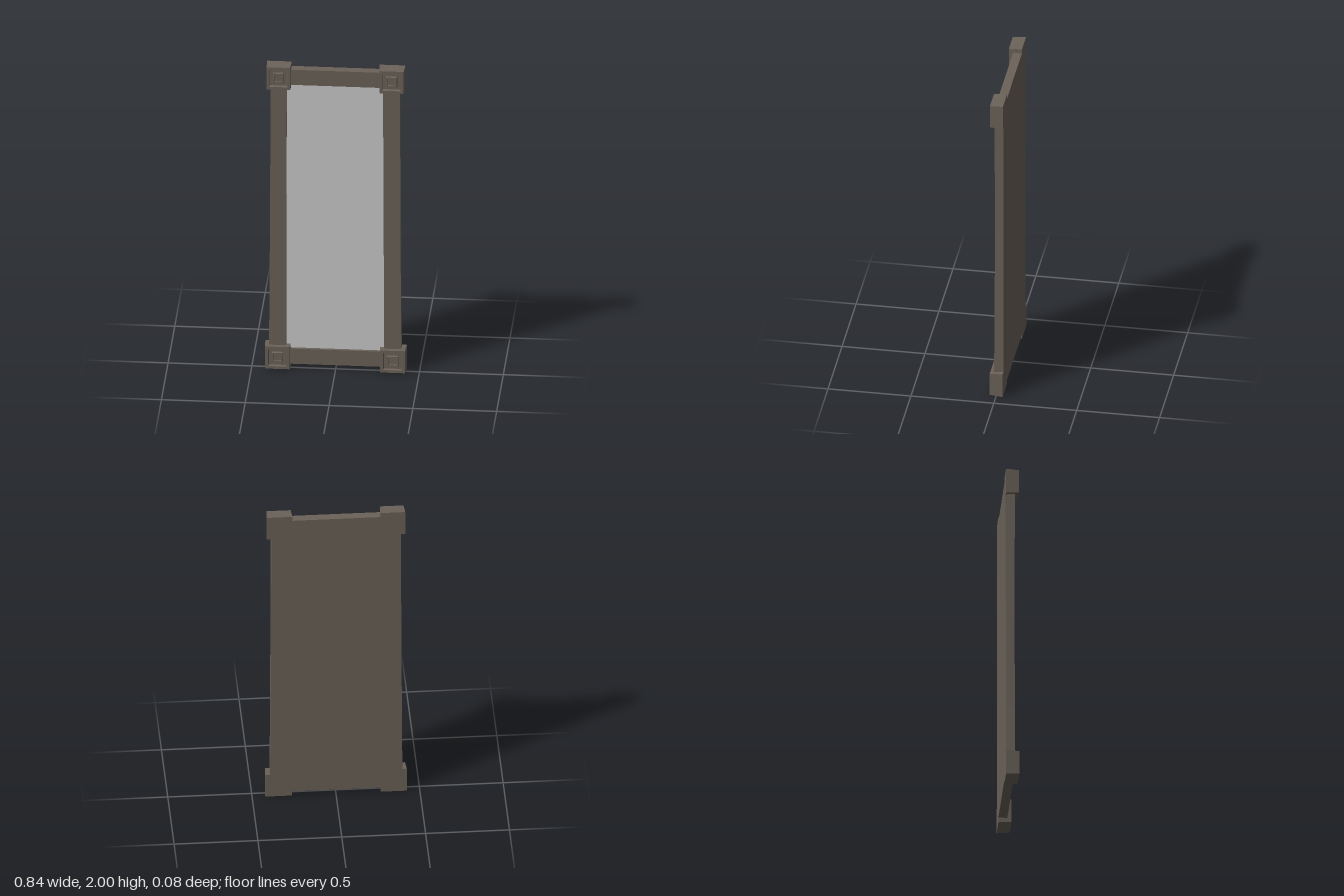
import * as THREE from 'three';

const BACK = -0.04;

export function createModel() {
  const wood = new THREE.MeshStandardMaterial({ color: 0x6b6259 });
  wood.name = 'dark wood';
  wood.flatShading = true;
  const silver = new THREE.MeshStandardMaterial({ color: 0xcccccc });
  silver.name = 'mirror silver';

  const group = new THREE.Group();
  group.name = 'wallMirror';
  const add = (name, geometry, material, x = 0, y = 0, z = 0) => {
    const mesh = new THREE.Mesh(geometry, material);
    mesh.name = name;
    mesh.position.set(x, y, z);
    group.add(mesh);
    return mesh;
  };

  // Slightly uneven stile: rows of [y, left x, right x, front z], bottom to top
  const stile = (rows) => {
    const g = new THREE.BoxGeometry(1, rows.length - 1, 1, 1, rows.length - 1, 1);
    const p = g.attributes.position;
    for (let i = 0; i < p.count; i++) {
      const [y, x0, x1, z] = rows[Math.round(p.getY(i) + (rows.length - 1) / 2)];
      p.setXYZ(i, p.getX(i) < 0 ? x0 : x1, y, p.getZ(i) < 0 ? BACK : z);
    }
    g.computeVertexNormals();
    return g;
  };
  add('rightStile', stile([
    [0.1, -0.397, -0.295, 0.016], [0.45, -0.394, -0.295, 0.015],
    [1.2, -0.39, -0.294, 0.011], [1.45, -0.389, -0.293, 0.013], [1.9, -0.388, -0.289, 0.016],
  ]), wood);
  add('leftStile', stile([
    [0.1, 0.291, 0.394, 0.016], [0.45, 0.289, 0.39, 0.015],
    [1.2, 0.286, 0.387, 0.011], [1.45, 0.285, 0.386, 0.013], [1.9, 0.284, 0.385, 0.016],
  ]), wood);

  // Rails between the corner blocks
  const rail = new THREE.BoxGeometry(0.62, 0.1, 0.053);
  add('topRail', rail, wood, 0, 1.925, BACK + 0.0265);
  add('bottomRail', rail, wood, 0, 0.08, BACK + 0.0265);

  // Backing board and mirror plate
  add('backBoard', new THREE.BoxGeometry(0.6, 1.76, 0.03), wood, 0, 1.0025, BACK + 0.015);
  add('mirrorPlate', new THREE.BoxGeometry(0.6, 1.76, 0.005), silver, 0, 1.0025, -0.0075);

  // Tapered square corner block with a sunk panel and a stepped boss: [half width, z]
  const profile = [
    [0, BACK], [0.078, BACK], [0.073, 0.039], [0.056, 0.039], [0.052, 0.024],
    [0.034, 0.024], [0.031, 0.037], [0.023, 0.037], [0.021, 0.032], [0, 0.032],
  ].map(([h, z]) => new THREE.Vector2(h * Math.SQRT2, z));
  const block = new THREE.LatheGeometry(profile, 4, Math.PI / 4).rotateX(Math.PI / 2);
  [
    ['topRightBlock', -0.339, 1.9255, 0.955], ['topLeftBlock', 0.336, 1.9255, 0.985],
    ['bottomRightBlock', -0.345, 0.078, 1], ['bottomLeftBlock', 0.342, 0.078, 1.02],
  ].forEach(([name, x, y, sx]) => {
    add(name, block, wood, x, y).scale.x = sx;
  });

  return group;
}
